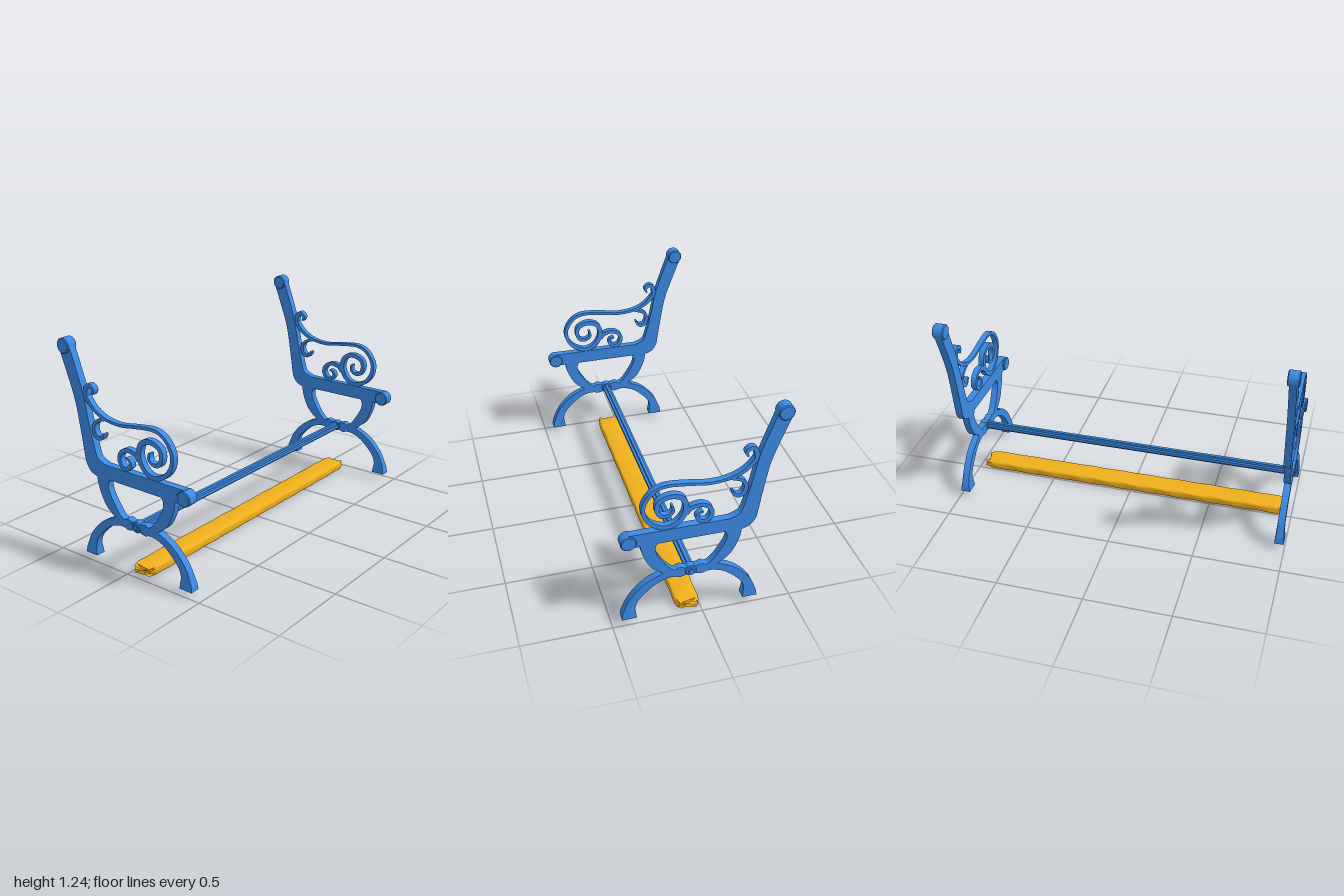
import * as THREE from 'three';
import { toCreasedNormals } from 'three/addons/utils/BufferGeometryUtils.js';

const blue = new THREE.MeshStandardMaterial({ color: 0x3b8ae6 });
const yellow = new THREE.MeshStandardMaterial({ color: 0xf0b01c });
const MID_Z = 0.068; // symmetry plane of the leg frame
const SIDE_X = 0.9675; // middle of each end frame

const vecs = (pts) => pts.map(([a, b]) => new THREE.Vector2(a, b));
const spline = (pts, n = 4) => new THREE.SplineCurve(vecs(pts)).getPoints((pts.length - 1) * n);

// Joins smooth runs with sharp corners between them
const outline = (...runs) => runs.flatMap((r) => spline(r));

// Extrudes a (z, y) outline to a plate centred on x = 0
function plate(points, thickness) {
  const geo = new THREE.ExtrudeGeometry(new THREE.Shape(points), { depth: thickness, bevelEnabled: false });
  return geo.translate(0, 0, -thickness / 2).rotateY(-Math.PI / 2);
}

function part(name, geo, material = blue, crease = 0.6) {
  const mesh = new THREE.Mesh(toCreasedNormals(geo, crease), material);
  mesh.name = name;
  return mesh;
}

// Flat bar following a curve; widths are spread along its length
function ribbon(pts, widths, thickness = 0.034) {
  const curve = new THREE.SplineCurve(vecs(pts));
  const n = pts.length * 5;
  const a = [], b = [];
  for (let i = 0; i <= n; i++) {
    const t = i / n, k = t * (widths.length - 1), j = Math.min(Math.floor(k), widths.length - 2);
    const w = THREE.MathUtils.lerp(widths[j], widths[j + 1], k - j) / 2;
    const p = curve.getPoint(t), d = curve.getTangent(t);
    a.push(new THREE.Vector2(p.x - d.y * w, p.y + d.x * w));
    b.push(new THREE.Vector2(p.x + d.y * w, p.y - d.x * w));
  }
  return plate([...a, ...b.reverse()], thickness);
}

// Round boss along x with a slightly softened rim
function boss(r, width, z, y) {
  const h = width / 2, e = Math.min(0.005, r * 0.2);
  const geo = new THREE.LatheGeometry(vecs([[0, -h], [r - e, -h], [r, -h + e], [r, h - e], [r - e, h], [0, h]]), 28);
  return geo.rotateZ(-Math.PI / 2).translate(0, y, z);
}

function endFrame() {
  const g = new THREE.Group();

  // Seat rail sweeping up into the back post
  const rail = outline(
    [[0.405, 0.515], [-0.2, 0.515]],
    [[-0.21, 0.515], [-0.25, 0.532], [-0.278, 0.57], [-0.288, 0.61], [-0.312, 0.76], [-0.342, 0.915], [-0.39, 1.05], [-0.445, 1.19]],
    [[-0.366, 1.21], [-0.322, 1.09], [-0.284, 0.98], [-0.261, 0.88], [-0.242, 0.79], [-0.206, 0.65], [-0.185, 0.615], [-0.135, 0.595]],
    [[-0.12, 0.595], [0.405, 0.595]],
  );
  g.add(part('seatRailAndBackPost', plate(rail, 0.042)));
  g.add(part('seatRoll', boss(0.043, 0.065, 0.405, 0.55)));
  g.add(part('backRoll', boss(0.043, 0.065, -0.404, 1.2)));

  // Leg frame: half outline, then its mirror image
  const half = outline(
    [[0.004, 0.27], [0.03, 0.267], [0.06, 0.26], [0.09, 0.269], [0.132, 0.266], [0.198, 0.237], [0.281, 0.158], [0.305, 0.1]],
    [[0.297, 0.037], [0.379, 0.037]],
    [[0.374, 0.075], [0.332, 0.168], [0.248, 0.257], [0.152, 0.306]],
    [[0.153, 0.309], [0.217, 0.362], [0.262, 0.454], [0.275, 0.53]],
    [[0.172, 0.53], [0.186, 0.508], [0.194, 0.48], [0.182, 0.437], [0.132, 0.355], [0.09, 0.316], [0.062, 0.325], [0.03, 0.317], [0.004, 0.316]],
  );
  const legs = plate([
    ...half.map((p) => new THREE.Vector2(MID_Z + p.x, p.y)),
    ...half.map((p) => new THREE.Vector2(MID_Z - p.x, p.y)).reverse(),
  ], 0.04);
  // Flare the feet sideways
  const pos = legs.attributes.position;
  for (let i = 0; i < pos.count; i++) {
    const f = THREE.MathUtils.clamp((0.11 - pos.getY(i)) / 0.07, 0, 1);
    pos.setX(i, pos.getX(i) * (1 + 0.4 * f));
  }
  g.add(part('legs', legs));
  g.add(part('hub', boss(0.032, 0.05, MID_Z, 0.292)));
  g.add(part('hubPin', boss(0.016, 0.06, MID_Z, 0.292)));

  // Armrest ending in a large spiral
  g.add(part('armrestScroll', ribbon([
    [-0.276, 0.957], [-0.217, 0.891], [-0.138, 0.852], [-0.03, 0.839], [0.086, 0.855], [0.2, 0.865], [0.273, 0.839],
    [0.322, 0.766], [0.316, 0.691], [0.27, 0.632], [0.197, 0.605], [0.132, 0.635], [0.099, 0.704], [0.118, 0.773],
    [0.181, 0.796], [0.24, 0.773], [0.253, 0.727], [0.234, 0.684], [0.194, 0.678], [0.168, 0.7], [0.171, 0.734],
  ], [0.026, 0.016, 0.018, 0.022, 0.027, 0.03, 0.026, 0.022, 0.012])));
  g.add(part('smallScroll', ribbon([
    [0.098, 0.676], [0.072, 0.702], [0.02, 0.713], [-0.026, 0.69], [-0.04, 0.647], [-0.018, 0.61],
    [0.014, 0.608], [0.038, 0.633], [0.03, 0.658], [0.006, 0.668],
  ], [0.03, 0.024, 0.024, 0.024, 0.02, 0.01])));
  g.add(part('lowerPostScroll', ribbon([
    [-0.125, 0.85], [-0.194, 0.826], [-0.217, 0.789], [-0.21, 0.75], [-0.184, 0.732], [-0.158, 0.743], [-0.146, 0.765],
  ], [0.014, 0.02, 0.026, 0.022, 0.01])));
  g.add(part('upperPostScroll', ribbon([
    [-0.282, 0.925], [-0.268, 0.965], [-0.261, 0.998], [-0.236, 1.013], [-0.211, 0.993], [-0.22, 0.966],
  ], [0.03, 0.026, 0.024, 0.02, 0.01])));
  return g;
}

// Cross-shaped tie bar between the end frames
function tieBar() {
  const a = 0.024, b = 0.009;
  const section = vecs([[a, -b], [a, b], [b, b], [b, a], [-b, a], [-b, b], [-a, b], [-a, -b], [-b, -b], [-b, -a], [b, -a], [b, -b]]);
  return plate(section, SIDE_X * 2).translate(0, 0.292, MID_Z);
}

// Worn wooden plank with rounded edges and ragged ends
function plank() {
  const h = 0.0255, w = 0.067, r = 0.012, n = 48, length = 1.93;
  const ring = [];
  [[1, 1, 0], [-1, 1, 1], [-1, -1, 2], [1, -1, 3]].forEach(([sz, sy, q]) => {
    for (let i = 0; i <= 3; i++) {
      const t = (q + i / 3) * Math.PI / 2;
      ring.push([sz * (w - r) + r * Math.cos(t), sy * (h - r) + r * Math.sin(t)]);
    }
  });
  const m = ring.length, verts = [], index = [];
  for (let i = 0; i <= n; i++) {
    const t = (i / n) * 2 - 1;
    const end = THREE.MathUtils.smoothstep(Math.abs(t), 0.955, 1);
    ring.forEach(([z, y], j) => {
      const wear = 1 - 0.02 * (1 + Math.sin(i * 1.3 + j * 0.9)) - 0.2 * end * (1 + 0.5 * Math.sin(j * 2.7 + t));
      const ragged = end * 0.014 * Math.sin(j * 2.1 + t * 3);
      verts.push(t * (length / 2 - 0.01 + ragged), 0.0265 + y * wear, MID_Z + z * wear);
    });
  }
  for (let i = 0; i < n; i++) for (let j = 0; j < m; j++) {
    const a = i * m + j, b = i * m + (j + 1) % m;
    index.push(a, b, a + m, b, b + m, a + m);
  }
  // End caps fan from a slightly sunken centre
  for (const [row, x] of [[0, -length / 2 + 0.012], [n, length / 2 - 0.012]]) {
    const c = verts.length / 3;
    verts.push(x, 0.0265, MID_Z);
    for (let j = 0; j < m; j++) {
      const a = row * m + j, b = row * m + (j + 1) % m;
      if (row) index.push(c, a, b); else index.push(c, b, a);
    }
  }
  // Ring runs z to y, so flip the winding to face outward
  for (let i = 0; i < index.length; i += 3) [index[i + 1], index[i + 2]] = [index[i + 2], index[i + 1]];
  const geo = new THREE.BufferGeometry();
  geo.setAttribute('position', new THREE.Float32BufferAttribute(verts, 3));
  geo.setIndex(index);
  return geo;
}

export function createModel() {
  const model = new THREE.Group();
  model.name = 'benchFrame';
  for (const [name, side] of [['leftEndFrame', 1], ['rightEndFrame', -1]]) {
    const frame = endFrame();
    frame.name = name;
    frame.position.x = side * SIDE_X;
    model.add(frame);
  }
  model.add(part('tieBar', tieBar(), blue, 0.3));
  model.add(part('plank', plank(), yellow, 0.7));
  return model;
}
